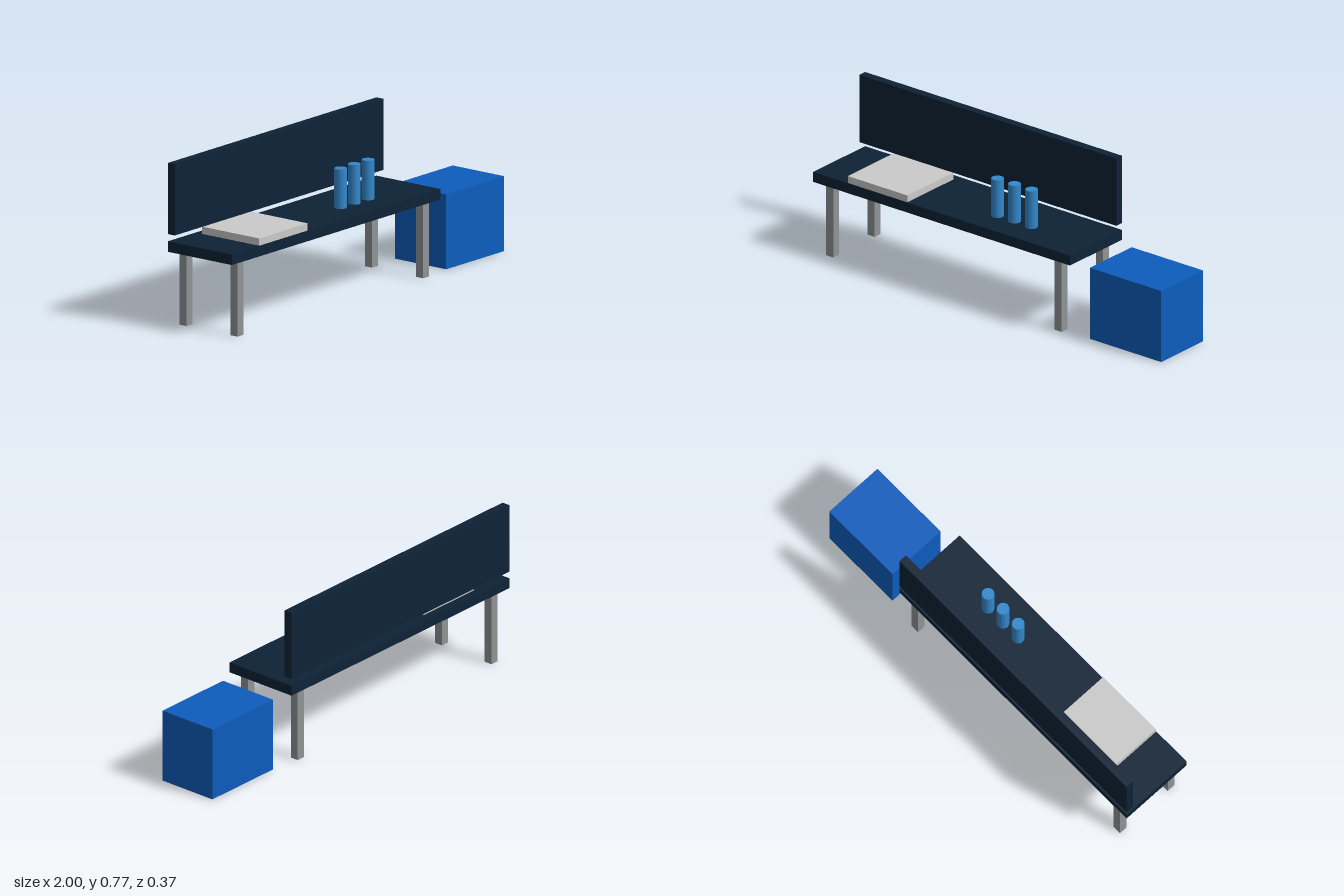
import * as THREE from 'three';

const material = (name, color) => {
  const m = new THREE.MeshStandardMaterial({ color });
  m.name = name;
  return m;
};

export function createModel() {
  const group = new THREE.Group();
  const navy = material('navy', 0x0d2236);
  const blue = material('blue', 0x0d5dbe);
  const sky = material('skyBlue', 0x3388cc);
  const paper = material('lightGrey', 0xcacaca);
  const steel = material('steelGrey', 0x919496);

  const add = (name, geometry, mat, x, y, z) => {
    const mesh = new THREE.Mesh(geometry, mat);
    mesh.name = name;
    mesh.position.set(x, y, z);
    group.add(mesh);
  };
  // Box given by its lower and upper corners
  const addBox = (name, mat, [x0, y0, z0], [x1, y1, z1]) =>
    add(name, new THREE.BoxGeometry(x1 - x0, y1 - y0, z1 - z0), mat,
      (x0 + x1) / 2, (y0 + y1) / 2, (z0 + z1) / 2);

  const seatBottom = 0.351, seatTop = 0.4;

  // Bench
  addBox('seat', navy, [-1, seatBottom, -0.187], [0.498, seatTop, 0.187]);
  addBox('backrest', navy, [-1, 0.434, -0.187], [0.498, 0.767, -0.146]);
  for (const x of [-0.917, 0.415]) {
    for (const z of [-0.149, 0.149]) {
      add('leg', new THREE.BoxGeometry(0.042, seatBottom, 0.042), steel, x, seatBottom / 2, z);
    }
  }

  // Flat slab lying on the seat
  addBox('slab', paper, [-0.8, seatTop, -0.149], [-0.453, 0.434, 0.184]);

  // Row of three cans
  const canHeight = 0.185;
  for (const x of [-0.042, 0.057, 0.156]) {
    add('can', new THREE.CylinderGeometry(0.029, 0.029, canHeight, 16), sky,
      x, seatTop + canHeight / 2, 0.042);
  }

  // Box standing beside the bench
  addBox('sideBox', blue, [0.584, 0, -0.15], [1, 0.351, 0.15]);

  return group;
}
